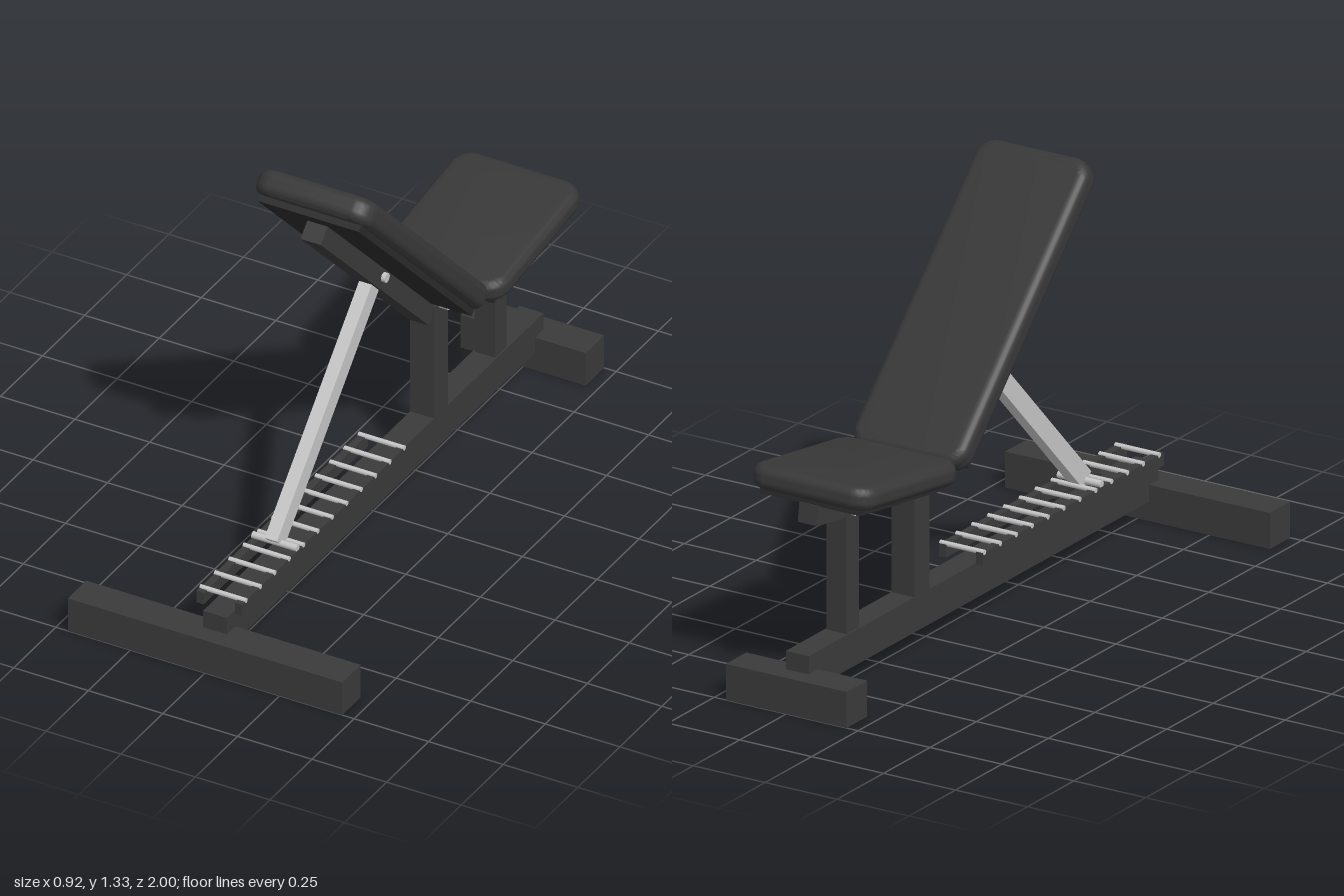
import * as THREE from 'three';
import { toCreasedNormals } from 'three/addons/utils/BufferGeometryUtils.js';

const frameMat = new THREE.MeshStandardMaterial({ color: 0x3a3a3a });
frameMat.name = 'dark frame';
const padMat = new THREE.MeshStandardMaterial({ color: 0x383838 });
padMat.name = 'black upholstery';
const boardMat = new THREE.MeshStandardMaterial({ color: 0x2a2a2a });
boardMat.name = 'black backing board';
const metalMat = new THREE.MeshStandardMaterial({ color: 0xc6c6c6 });
metalMat.name = 'bright steel';

function add(parent, name, geometry, material, x = 0, y = 0, z = 0) {
  const mesh = new THREE.Mesh(geometry, material);
  mesh.name = name;
  mesh.position.set(x, y, z);
  parent.add(mesh);
  return mesh;
}

// box given by its half width in x and its y and z ranges
function beam(parent, name, halfX, y0, y1, z0, z1, material = frameMat) {
  return add(parent, name, new THREE.BoxGeometry(halfX * 2, y1 - y0, z1 - z0), material,
    0, (y0 + y1) / 2, (z0 + z1) / 2);
}

// cylinder lying along x
function rod(parent, name, radius, length, x, y, z, sides = 16) {
  const geometry = new THREE.CylinderGeometry(radius, radius, length, sides).rotateZ(Math.PI / 2);
  return add(parent, name, geometry, metalMat, x, y, z);
}

// cushion lying flat, rounded in plan and along its edges
function cushion(width, length, thickness, corner, edge) {
  const w = width / 2 - edge, l = length / 2 - edge, r = corner - edge;
  const shape = new THREE.Shape();
  shape.moveTo(-w + r, -l);
  shape.lineTo(w - r, -l);
  shape.absarc(w - r, -l + r, r, -Math.PI / 2, 0);
  shape.lineTo(w, l - r);
  shape.absarc(w - r, l - r, r, 0, Math.PI / 2);
  shape.lineTo(-w + r, l);
  shape.absarc(-w + r, l - r, r, Math.PI / 2, Math.PI);
  shape.lineTo(-w, -l + r);
  shape.absarc(-w + r, -l + r, r, Math.PI, Math.PI * 1.5);
  const depth = thickness - 2 * edge;
  const geometry = new THREE.ExtrudeGeometry(shape, {
    depth, bevelThickness: edge, bevelSize: edge, bevelSegments: 6, curveSegments: 8,
  });
  geometry.translate(0, 0, -depth / 2).rotateX(-Math.PI / 2);
  return toCreasedNormals(geometry, 0.6);
}

export function createModel() {
  const model = new THREE.Group();
  model.name = 'adjustableBench';

  // base
  beam(model, 'frontFoot', 0.46, 0, 0.113, 0.89, 1);
  beam(model, 'rearFoot', 0.21, 0, 0.113, -1, -0.89);
  beam(model, 'mainBeam', 0.04, 0.06, 0.17, -0.94, 0.94);
  beam(model, 'mainPost', 0.04, 0.17, 0.555, -0.372, -0.29);
  beam(model, 'seatPost', 0.035, 0.17, 0.55, -0.73, -0.662);

  // adjustment ladder
  const ladder = new THREE.Group();
  ladder.name = 'adjustmentLadder';
  model.add(ladder);
  for (const side of [-1, 1]) {
    beam(ladder, 'ladderRail', 0.012, 0.174, 0.214, -0.06, 0.915).position.x = side * 0.064;
  }
  for (let i = 0; i < 12; i++) {
    rod(ladder, 'ladderRung', 0.008, 0.154, 0, 0.214, 0.89 - i * 0.0855, 10);
  }

  // backrest, leaning toward the front
  const back = new THREE.Group();
  back.name = 'backrest';
  back.position.set(0, 0.95, 0.01);
  back.rotation.x = -Math.PI / 4;
  model.add(back);
  add(back, 'backPad', cushion(0.394, 1.03, 0.08, 0.065, 0.03), padMat);
  beam(back, 'backBoard', 0.17, -0.06, -0.036, -0.475, 0.475, boardMat);
  beam(back, 'backSpine', 0.034, -0.118, -0.056, -0.515, 0.394);

  // seat, rising toward the rear
  const seat = new THREE.Group();
  seat.name = 'seat';
  seat.position.set(0, 0.632, -0.632);
  seat.rotation.x = 0.143;
  model.add(seat);
  add(seat, 'seatPad', cushion(0.424, 0.535, 0.074, 0.07, 0.03), padMat);
  beam(seat, 'seatBoard', 0.175, -0.052, -0.034, -0.235, 0.235, boardMat);
  beam(seat, 'seatSpine', 0.034, -0.11, -0.05, -0.24, 0.24);

  // support strut from the backrest to the ladder
  const top = new THREE.Vector3(0, 0.825, 0), foot = new THREE.Vector3(0, 0.222, 0.588);
  const strut = add(model, 'supportStrut',
    new THREE.BoxGeometry(0.042, 0.06, top.distanceTo(foot)), metalMat);
  strut.position.copy(top).lerp(foot, 0.5);
  strut.rotation.x = Math.atan2(top.y - foot.y, foot.z - top.z);
  rod(model, 'strutFootBar', 0.011, 0.15, 0, 0.222, 0.582);

  // pivot bolts
  rod(model, 'strutPivot', 0.015, 0.094, 0, 0.825, 0);
  rod(model, 'seatPivot', 0.015, 0.088, 0, 0.545, -0.692);
  for (const side of [-1, 1]) {
    rod(model, 'backPivotCap', 0.018, 0.035, side * 0.052, 0.553, -0.332);
  }
  return model;
}
